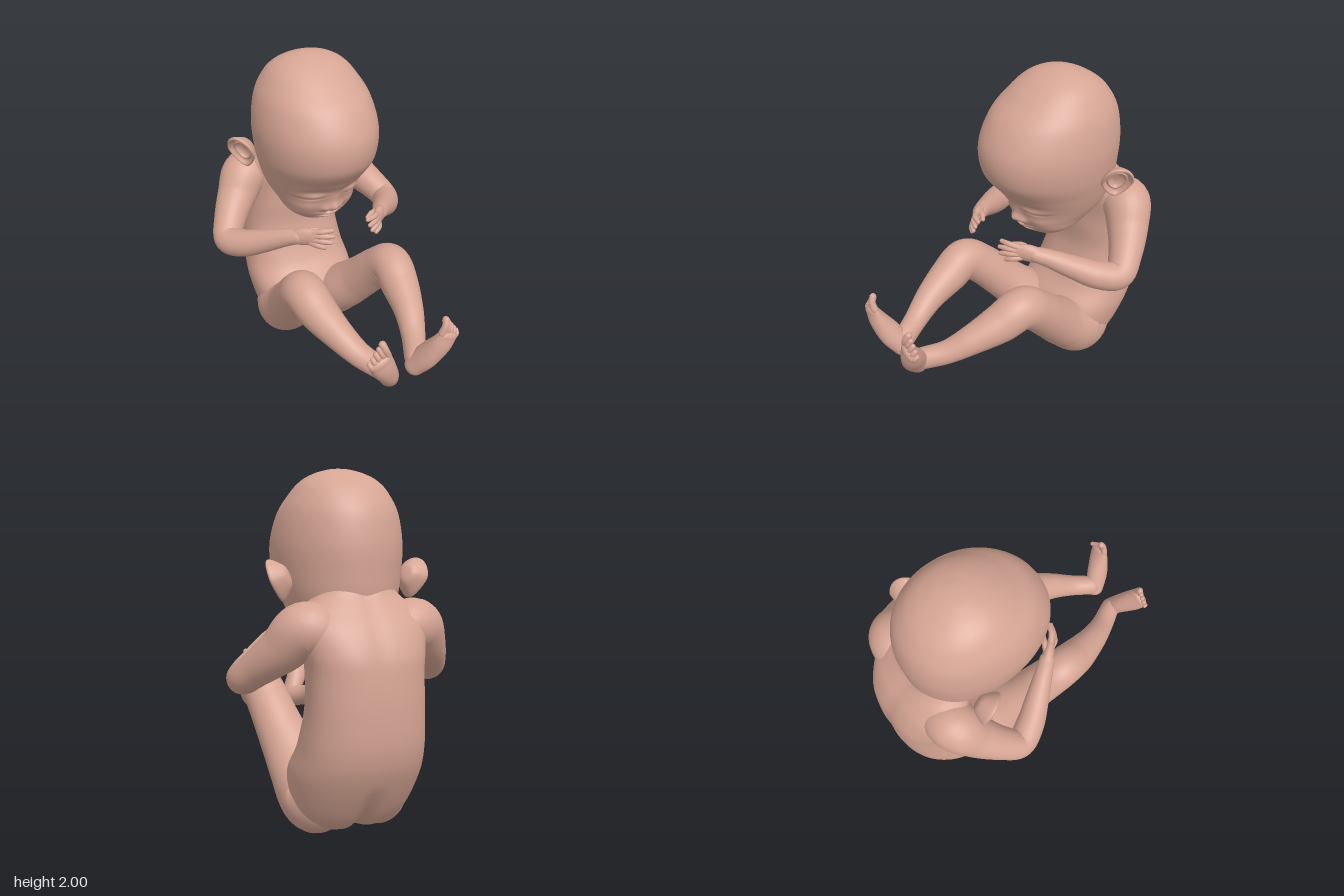
import * as THREE from 'three';

const skin = new THREE.MeshStandardMaterial({ color: 0xd6a594 });
skin.name = 'skin';
const V = (x, y, z) => new THREE.Vector3(x, y, z);
const bell = (d, s) => Math.exp(-(d * d) / (s * s));

// Joins rings of points into a smooth closed skin
function skinRings(rings) {
  const n = rings[0].length, pos = [], idx = [];
  rings.forEach(r => r.forEach(p => pos.push(p.x, p.y, p.z)));
  for (let i = 0; i < rings.length - 1; i++) {
    for (let j = 0; j < n; j++) {
      const a = i * n + j, b = i * n + (j + 1) % n;
      idx.push(a, b, b + n, a, b + n, a + n);
    }
  }
  const g = new THREE.BufferGeometry();
  g.setAttribute('position', new THREE.Float32BufferAttribute(pos, 3));
  g.setIndex(idx);
  g.computeVertexNormals();
  return g;
}

// Horizontal slices [y, front z, back z, half width], bottom to top
function stack(slices, nRings, nCols, power, rule) {
  const a = new THREE.CatmullRomCurve3(slices.map(s => V(s[0], s[1], s[2])), false, 'catmullrom');
  const b = new THREE.CatmullRomCurve3(slices.map(s => V(s[3], 0, 0)), false, 'catmullrom');
  const rings = [];
  const soft = c => Math.sign(c) * Math.pow(Math.abs(c), 2 / power);
  for (let i = 0; i <= nRings; i++) {
    const p = a.getPoint(i / nRings), hw = Math.max(0, b.getPoint(i / nRings).x), ring = [];
    for (let j = 0; j < nCols; j++) {
      const t = j / nCols * Math.PI * 2;
      const v = V(hw * soft(Math.sin(t)), p.x, (p.y + p.z) / 2 + (p.y - p.z) / 2 * soft(Math.cos(t)));
      rule(v, Math.cos(t));
      ring.push(v);
    }
    rings.push(ring);
  }
  return skinRings(rings);
}

// Round-ended limb through [x, y, z, radius along ref, other radius]
function limb(pts, ref, nRings = 40, nCols = 28) {
  const path = new THREE.CatmullRomCurve3(pts.map(p => V(p[0], p[1], p[2])), false, 'catmullrom');
  const size = new THREE.CatmullRomCurve3(pts.map(p => V(p[3], p[4] ?? p[3], 0)), false, 'catmullrom');
  const rings = [], caps = 7;
  const add = (u, scale, shift) => {
    const c = path.getPoint(u), r = size.getPoint(u), t = path.getTangent(u);
    const s = ref.clone().addScaledVector(t, -ref.dot(t)).normalize(), o = t.clone().cross(s);
    c.addScaledVector(t, shift * Math.min(r.x, r.y));
    rings.push(Array.from({ length: nCols }, (_, j) => {
      const a = j / nCols * Math.PI * 2;
      return c.clone().addScaledVector(s, r.x * scale * Math.cos(a)).addScaledVector(o, r.y * scale * Math.sin(a));
    }));
  };
  for (let k = 0; k < caps; k++) { const a = k / caps * Math.PI / 2; add(0, Math.sin(a), -Math.cos(a)); }
  for (let i = 0; i <= nRings; i++) add(i / nRings, 1, 0);
  for (let k = caps - 1; k >= 0; k--) { const a = k / caps * Math.PI / 2; add(1, Math.sin(a), Math.cos(a)); }
  return skinRings(rings);
}

// Mirrored copy with its corner order turned round
function mirrored(g) {
  const m = g.clone();
  m.scale(-1, 1, 1);
  const ix = m.index.array;
  for (let i = 0; i < ix.length; i += 3) [ix[i], ix[i + 1]] = [ix[i + 1], ix[i]];
  m.computeVertexNormals();
  return m;
}

// Cupped ear with a rolled rim, narrower at the lobe
function earGeometry() {
  const profile = [[0, -.5], [.45, -.44], [.85, -.08], [1, .12], [.98, .21], [.88, .22], [.77, .08],
    [.66, .02], [.55, .06], [.46, -.08], [.25, -.17], [0, -.18]];
  const curve = new THREE.SplineCurve(profile.map(p => new THREE.Vector2(...p)));
  const g = new THREE.LatheGeometry(curve.getPoints(44).map(p => p.setX(Math.max(0, p.x))), 40);
  const p = g.attributes.position;
  for (let i = 0; i < p.count; i++) {
    const z = p.getZ(i);
    p.setXYZ(i, p.getX(i) * .095 * (z < 0 ? 1 + .4 * z : 1), p.getY(i) * .12, z * .118);
  }
  const u = V(.3, .93, .22).normalize(), n = V(.78, -.2, .5);
  n.addScaledVector(u, -n.dot(u)).normalize();
  g.applyMatrix4(new THREE.Matrix4().makeBasis(n.clone().cross(u), n, u).setPosition(.388, 1.415, -.445));
  g.computeVertexNormals();
  return g;
}

export function createModel() {
  const model = new THREE.Group();
  model.name = 'baby';
  const add = (name, g) => {
    const m = new THREE.Mesh(g, skin);
    m.name = name;
    model.add(m);
  };
  const pair = (name, g) => {
    add('left' + name, g);
    add('right' + name, mirrored(g));
  };

  // Head, with the face modelled into its front
  add('head', stack([
    [.97, -.24, -.24, 0], [.985, -.16, -.32, .1], [1.05, -.085, -.44, .195], [1.12, -.045, -.56, .235],
    [1.2, -.015, -.65, .275], [1.31, .06, -.69, .312], [1.44, .155, -.7, .343], [1.6, .168, -.7, .352],
    [1.76, .09, -.668, .322], [1.87, -.03, -.6, .265], [1.932, -.115, -.527, .212], [1.97, -.185, -.455, .147],
    [1.991, -.25, -.39, .08], [1.998, -.288, -.352, .038], [2, -.32, -.32, 0],
  ], 190, 128, 2.1, (v, c) => {
    if (c <= 0) return;
    const x = Math.abs(v.x), y = v.y;
    let d = .045 * bell(x, .038) * bell(y - 1.125, .035);                   // nose tip
    d += .02 * bell(x, .035) * bell(y - 1.18, .05);                         // bridge
    d += .018 * bell(x - .05, .02) * bell(y - 1.115, .022);                 // nostril wings
    d -= .02 * bell(x - .018, .012) * bell(y - 1.088, .01);                 // nostrils
    d -= .022 * bell(x - .11, .08) * bell(y - 1.25, .035);                  // sockets
    d += .02 * bell(x - .14, .065) * bell(y - 1.225, .03);                  // lids
    d -= .012 * bell(x - .14, .07) * bell(y - 1.2 - 1.5 * (x - .14) ** 2, .009); // lid seams
    d += .024 * bell(x, .07) * bell(y - 1.066, .016);                       // upper lip
    d += .022 * bell(x, .06) * bell(y - 1.03, .016);                        // lower lip
    d -= .016 * bell(x, .08) * bell(y - 1.047 + x * .05, .009);             // mouth
    d += .015 * bell(x - .16, .07) * bell(y - 1.12, .05);                   // cheeks
    v.z += d;
  }));
  pair('Ear', earGeometry());

  // Torso and neck, with a faint spine groove and a cleft at the seat
  add('torso', stack([
    [.035, -.42, -.42, 0], [.05, -.29, -.58, .2], [.14, -.24, -.7, .31], [.36, -.23, -.838, .358],
    [.54, -.36, -.904, .34], [.76, -.44, -.918, .318], [.95, -.44, -.905, .315], [1.06, -.44, -.882, .33],
    [1.18, -.43, -.825, .345], [1.27, -.42, -.755, .3], [1.35, -.4, -.695, .22], [1.45, -.4, -.66, .17],
  ], 90, 96, 2.4, (v, c) => {
    if (c > 0) return;
    const x = Math.abs(v.x), cleft = v.y < .35 ? (.35 - v.y) * .2 : 0;
    v.z += (.008 + cleft) * bell(x, .045) - .006 * bell(x - .17, .09) * bell(v.y - 1.02, .14);
  }));

  // Arms, rising out of the upper back
  const up = V(0, 1, 0);
  pair('Arm', limb([
    [.06, 1.03, -.62, .1], [.19, 1.12, -.64, .13], [.315, 1.165, -.62, .147], [.415, 1.06, -.55, .124],
    [.51, .96, -.45, .1], [.565, .887, -.35, .088], [.51, .905, -.235, .084], [.42, .96, -.12, .07],
    [.33, 1.02, -.01, .054], [.28, 1.045, .05, .046],
  ], V(.6, .7, -.4), 80));

  // Hands: palm, four fingers and a thumb
  pair('Palm', limb([[.3, 1.035, .03, .045, .042], [.25, 1.055, .085, .056, .034], [.205, 1.06, .135, .049, .023]], up, 16, 20));
  const tips = [[.12, 1.105, .175], [.125, 1.075, .193], [.14, 1.04, .197], [.175, 1.01, .185]];
  tips.forEach(([x, y, z], i) => {
    const b = [.215 + i * .005, 1.093 - i * .022, .125];
    pair('Finger' + (i + 1), limb([
      [...b, .018], [(b[0] + x) / 2 + .004, (b[1] + y) / 2 + .006, (b[2] + z) / 2 + .01, .0175], [x, y, z, .013],
    ], up, 10, 12));
  });
  pair('Thumb', limb([[.25, 1.07, .07, .022], [.2, 1.085, .09, .018], [.155, 1.08, .115, .013]], up, 10, 12));

  // Legs, from inside the hip over the knee to the ankle
  pair('Leg', limb([
    [.16, .3, -.58, .13, .13], [.184, .197, -.43, .184, .197], [.2, .31, -.25, .185, .165],
    [.25, .465, -.1, .15, .142], [.288, .63, .05, .133, .13], [.302, .715, .17, .126, .13],
    [.282, .66, .31, .116, .118], [.238, .595, .48, .09, .09], [.18, .532, .62, .072, .07],
    [.11, .5, .745, .063, .07],
  ], V(1, 0, 0), 90, 36));

  // Feet: heel to ball, then five toes
  const across = V(.91, -.41, 0);
  pair('Foot', limb([
    [.09, .465, .775, .058, .062], [.135, .555, .82, .063, .072], [.185, .645, .86, .071, .056],
    [.215, .715, .88, .069, .034],
  ], across, 24, 28));
  for (let i = 0; i < 5; i++) {
    const s = -.052 + i * .026, r = i === 0 ? .021 : .017 - i * .0008, len = .088 - i * .013;
    const b = V(.222, .727 - i * .004, .882).addScaledVector(across, s);
    pair('Toe' + (i + 1), limb([
      [b.x, b.y, b.z, r], [b.x + len * .2, b.y + len * .5, b.z + .002, r * .95],
      [b.x + len * .32, b.y + len * .85, b.z - .012, r],
    ], across, 10, 12));
  }
  return model;
}
